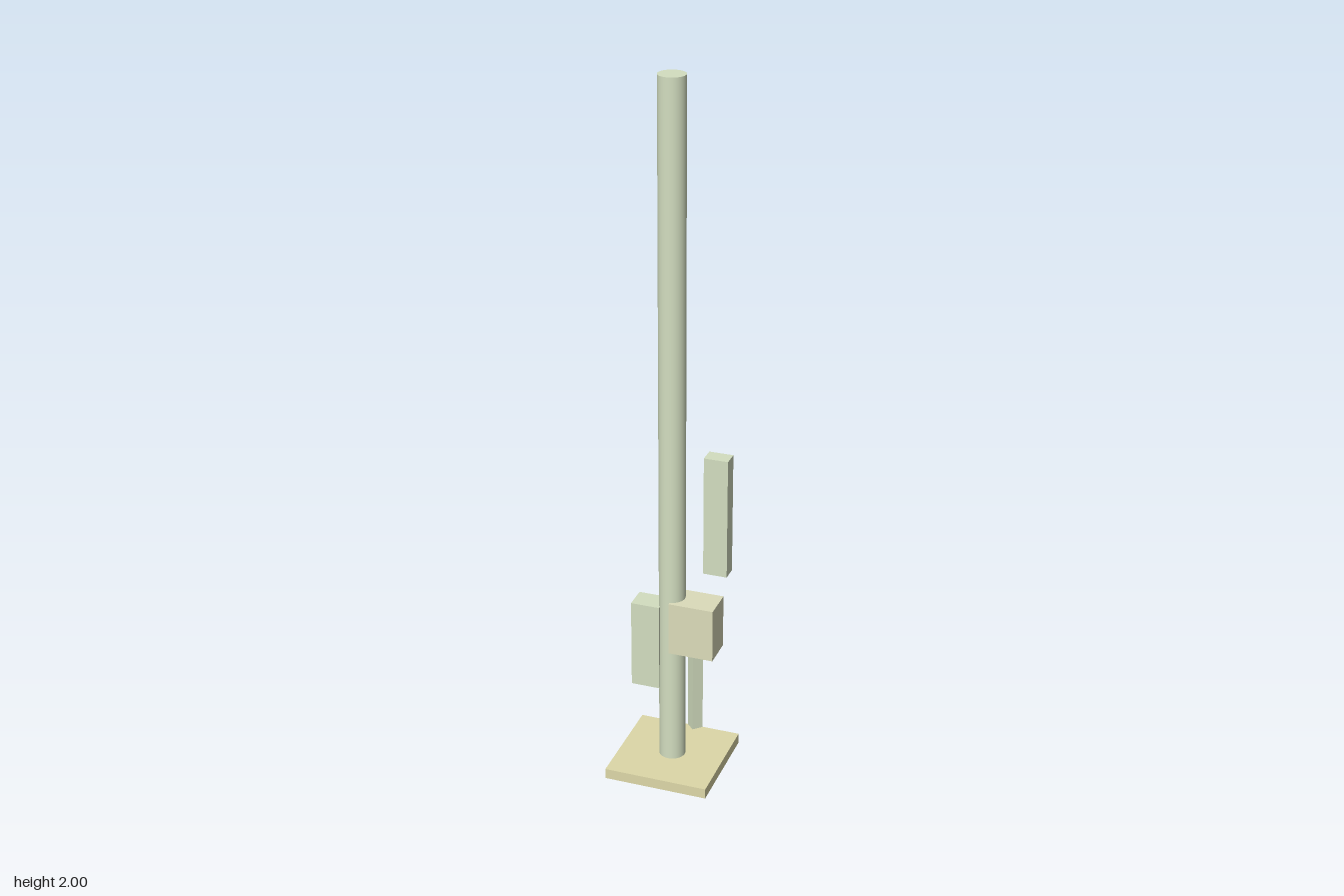
import * as THREE from 'three';

const material = (color, flatShading = false) => new THREE.MeshStandardMaterial({ color, flatShading });

export function createModel() {
  const model = new THREE.Group();
  const green = 0xd3deC0, sand = 0xddd8a8, cream = 0xdcdcba;

  const add = (name, geometry, color, x, y, z = 0, flat = false) => {
    const mesh = new THREE.Mesh(geometry, material(color, flat));
    mesh.name = name;
    mesh.position.set(x, y, z);
    model.add(mesh);
  };
  // Box given by its x range, y range and depth
  const addBox = (name, color, [x0, x1], [y0, y1], depth) =>
    add(name, new THREE.BoxGeometry(x1 - x0, y1 - y0, depth), color, (x0 + x1) / 2, (y0 + y1) / 2, -0.001);

  // Square foot and the tall round pole
  addBox('basePlate', sand, [-0.156, 0.14], [0, 0.03], 0.296);
  add('pole', new THREE.CylinderGeometry(0.037, 0.037, 1.985, 32), green, -0.009, 1.0075);

  // Boxes mounted beside the pole
  addBox('sideBox', green, [-0.118, -0.036], [0.253, 0.51], 0.067);
  addBox('controlBox', cream, [-0.004, 0.123], [0.38, 0.535], 0.092);
  addBox('upperPanel', green, [0.087, 0.154], [0.635, 0.98], 0.045);

  // Four-sided conduit hanging under the control box
  add('conduit', new THREE.CylinderGeometry(0.022, 0.022, 0.25, 4), green, 0.059, 0.257, 0, true);

  return model;
}
